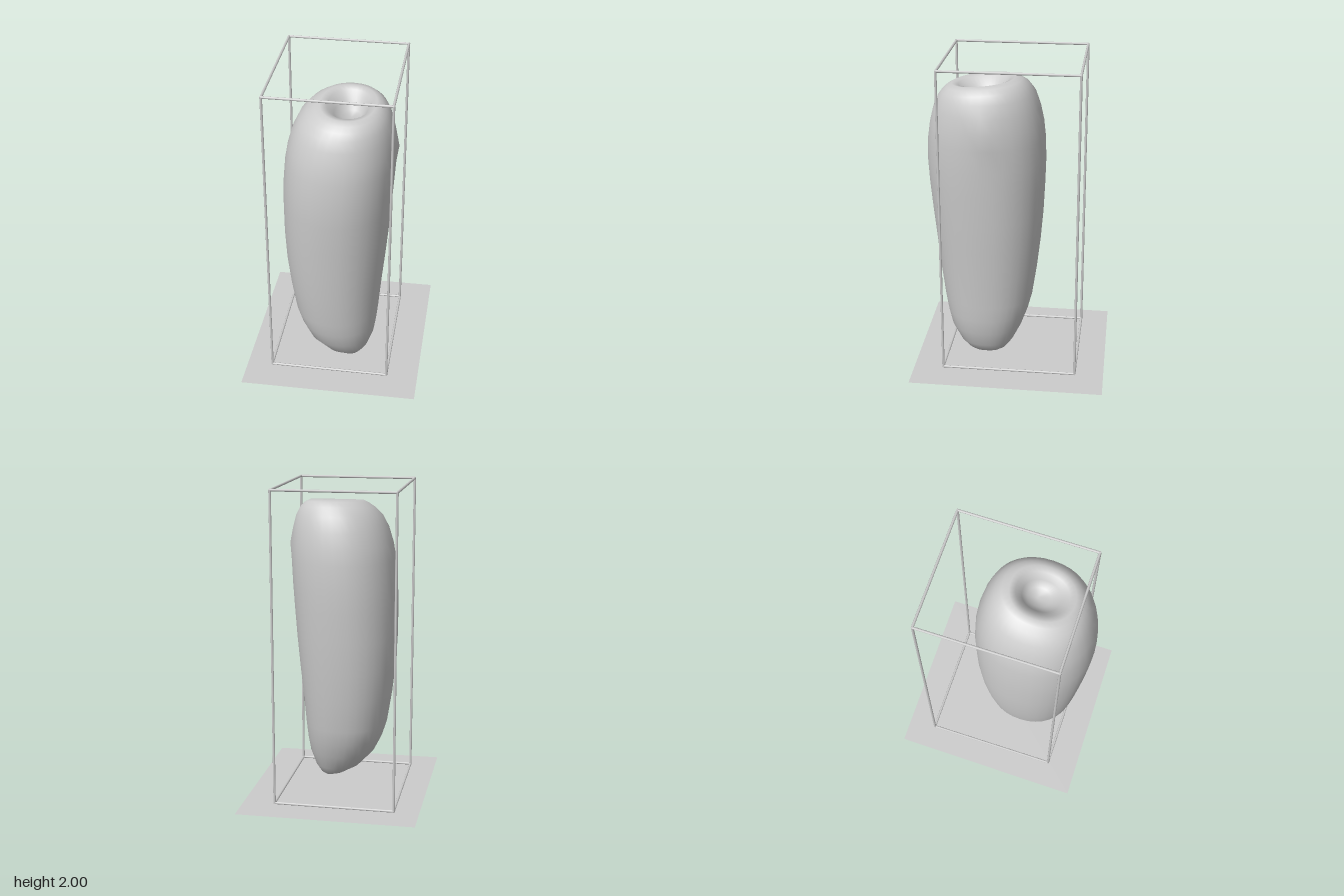
import * as THREE from 'three';

const material = new THREE.MeshStandardMaterial({ color: 0xcccccc, side: THREE.DoubleSide });

function named(name, geometry) {
  const mesh = new THREE.Mesh(geometry, material);
  mesh.name = name;
  return mesh;
}

// Lofted body: each ring is [y, xMin, xMax, zMin, zMax]
function bodyGeometry() {
  const rings = [
    [0.02, 0.12, 0.12, 0.17, 0.17], [0.025, 0.08, 0.14, 0.09, 0.24],
    [0.05, 0.0, 0.175, 0.04, 0.285], [0.1, -0.09, 0.208, -0.005, 0.34],
    [0.2, -0.185, 0.243, -0.06, 0.4], [0.3, -0.235, 0.258, -0.098, 0.428],
    [0.4, -0.268, 0.268, -0.125, 0.447], [0.6, -0.3, 0.285, -0.155, 0.473],
    [0.8, -0.323, 0.305, -0.178, 0.493], [1.0, -0.333, 0.323, -0.195, 0.513],
    [1.2, -0.333, 0.338, -0.205, 0.53], [1.35, -0.328, 0.348, -0.21, 0.537],
    [1.5, -0.315, 0.354, -0.205, 0.53], [1.6, -0.298, 0.352, -0.195, 0.515],
    [1.7, -0.268, 0.342, -0.175, 0.49], [1.78, -0.228, 0.323, -0.145, 0.462],
    [1.83, -0.18, 0.298, -0.105, 0.435], [1.86, -0.135, 0.268, -0.065, 0.405],
    [1.876, -0.1, 0.235, -0.02, 0.37],
    // hollow in the top
    [1.865, -0.06, 0.2, 0.015, 0.33], [1.81, -0.02, 0.175, 0.05, 0.28],
    [1.77, 0.02, 0.14, 0.08, 0.22], [1.755, 0.08, 0.08, 0.14, 0.14],
  ];
  const sides = 36, positions = [], index = [];
  const bend = (v) => Math.sign(v) * Math.abs(v) ** (2 / 2.15);
  rings.forEach(([y, x0, x1, z0, z1], i) => {
    for (let j = 0; j < sides; j++) {
      const a = (j / sides) * Math.PI * 2;
      let x = (x0 + x1) / 2 + ((x1 - x0) / 2) * bend(Math.cos(a));
      const z = (z0 + z1) / 2 + ((z1 - z0) / 2) * bend(Math.sin(a));
      // the top slopes down to the front
      const tilt = THREE.MathUtils.smoothstep(y, 1.7, 1.87) * 0.11 * (z - 0.14);
      // small bump high on one flank
      if (x > 0.3) x += 0.024 * Math.exp(-(((y - 1.6) / 0.08) ** 2) - ((z - 0.14) / 0.06) ** 2);
      positions.push(x, y - tilt, z);
      if (i < rings.length - 1) {
        const p = i * sides + j, q = i * sides + ((j + 1) % sides);
        if (i < rings.length - 2) index.push(p, p + sides, q + sides);
        else index.push(p, p + sides, q);
        if (i > 0 && i < rings.length - 2) index.push(p, q + sides, q);
      }
    }
  });
  const g = new THREE.BufferGeometry();
  g.setAttribute('position', new THREE.Float32BufferAttribute(positions, 3));
  g.setIndex(index);
  g.computeVertexNormals();
  // pole points share one normal
  const n = g.attributes.normal;
  for (let j = 0; j < sides; j++) {
    n.setXYZ(j, 0, -1, 0);
    n.setXYZ((rings.length - 1) * sides + j, 0, 1, 0);
  }
  return g;
}

// Thin bar between two points
function bar(from, to) {
  const dir = to.clone().sub(from);
  const mesh = named('frameBar', new THREE.CylinderGeometry(0.008, 0.008, dir.length() + 0.008, 8));
  mesh.position.copy(from).add(to).multiplyScalar(0.5);
  mesh.quaternion.setFromUnitVectors(new THREE.Vector3(0, 1, 0), dir.normalize());
  return mesh;
}

export function createModel() {
  const model = new THREE.Group();
  model.name = 'framedBody';
  model.add(named('body', bodyGeometry()));

  // Wire box: four posts, a lower and an upper loop
  const frame = new THREE.Group();
  frame.name = 'boxFrame';
  const low = 0.015, high = 1.992;
  const corners = [[-0.402, -0.436], [0.358, -0.436], [0.358, 0.417], [-0.402, 0.417]];
  corners.forEach(([x, z], i) => {
    const [nx, nz] = corners[(i + 1) % 4];
    frame.add(bar(new THREE.Vector3(x, low, z), new THREE.Vector3(x, high, z)));
    for (const y of [low, high]) {
      frame.add(bar(new THREE.Vector3(x, y, z), new THREE.Vector3(nx, y, nz)));
    }
  });
  model.add(frame);

  // Slightly skewed base sheet
  const outline = [[-0.57, -0.615], [0.56, -0.608], [0.567, 0.622], [-0.557, 0.617]];
  const sheet = new THREE.ShapeGeometry(new THREE.Shape(outline.map(([x, y]) => new THREE.Vector2(x, y))));
  sheet.rotateX(-Math.PI / 2);
  model.add(named('baseSheet', sheet));
  return model;
}
